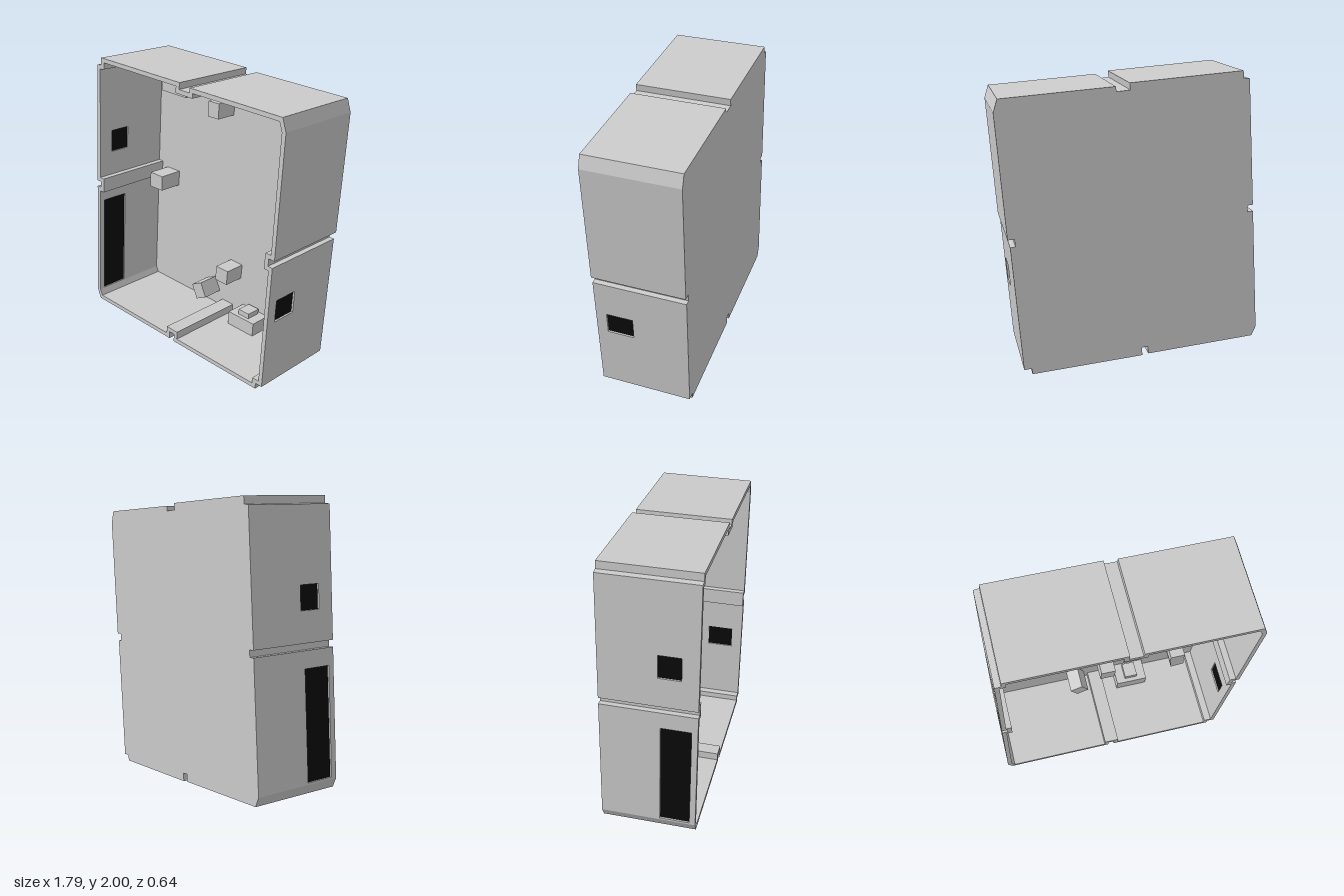
import * as THREE from 'three';

const T = 0.03;                       // wall thickness
const BACK = -0.32, FLOOR = -0.27, FRONT = 0.32;

// Outer outline, clockwise seen from the front, with grooves, steps and chamfers
const OUTLINE = [
  [-0.73, 2], [0.03, 1.945], [0.025, 1.9], [0.115, 1.892], [0.12, 1.925], [0.865, 1.873],
  [0.892, 1.787], [0.835, 0.962], [0.79, 0.966], [0.785, 0.915], [0.82, 0.911], [0.757, 0.037],
  [0.705, 0.041], [0.702, 0], [-0.065, 0.055], [-0.061, 0.112], [-0.104, 0.116], [-0.108, 0.063],
  [-0.868, 0.12], [-0.897, 0.187], [-0.838, 1.045], [-0.8, 1.042], [-0.797, 1.087], [-0.835, 1.09],
  [-0.775, 1.947], [-0.735, 1.95],
].map(([x, y]) => new THREE.Vector2(x, y));

// Walls with an opening: outline edge, y range, z range
const OPENINGS = [
  { name: 'rightUpper', edge: 6, y: [1.59, 1.778], z: [-0.285, 0.21] },
  { name: 'rightLower', edge: 10, y: [0.5, 0.655], z: [0.06, 0.245] },
  { name: 'leftLower', edge: 19, y: [0.2, 0.93], z: [0.08, 0.28] },
  { name: 'leftUpper', edge: 23, y: [1.295, 1.455], z: [0.06, 0.21] },
];

// Loose blocks on the floor: x, y, width, height, turn, z of front, z of back
const BLOCKS = [
  [-0.65, 1.925, 0.085, 0.075, 0, -0.11],
  [-0.46, 1.8, 0.24, 0.17, -0.075, -0.11],
  [-0.08, 1.667, 0.097, 0.11, -0.05, -0.11],
  [-0.65, 1.02, 0.125, 0.112, -0.06, -0.09],
  [0, 0.445, 0.11, 0.11, -0.1, -0.11],
  [-0.23, 0.243, 0.1, 0.115, 0.42, -0.11],
  [0.548, 0.445, 0.11, 0.085, -0.06, -0.11],
  [0.553, 0.352, 0.103, 0.115, 0.08, -0.11],
  [0.19, 0.12, 0.235, 0.1, -0.075, -0.11],
  [0.193, 0.188, 0.095, 0.04, -0.075, -0.14, -0.25],
];

const at = (i) => OUTLINE[(i + OUTLINE.length) % OUTLINE.length];
const edgeDir = (i) => at(i + 1).clone().sub(at(i)).normalize();

// Inner outline: each corner moved inward along its mitre
const INNER = OUTLINE.map((p, i) => {
  const normals = [edgeDir(i - 1), edgeDir(i)].map((d) => new THREE.Vector2(d.y, -d.x));
  const sum = normals[0].clone().add(normals[1]);
  return p.clone().addScaledVector(sum, T / (1 + normals[0].dot(normals[1])));
});

function extrude(shape, depth) {
  return new THREE.ExtrudeGeometry(shape, { depth, bevelEnabled: false });
}

function rect(u0, u1, v0, v1) {
  return [[u0, v0], [u1, v0], [u1, v1], [u0, v1]].map(([u, v]) => new THREE.Vector2(u, v));
}

export function createModel() {
  const model = new THREE.Group();
  model.name = 'openTray';
  const grey = new THREE.MeshStandardMaterial({ color: 0xcccccc, flatShading: true });
  const black = new THREE.MeshStandardMaterial({ color: 0x0a0a0a });

  function add(name, geometry, material = grey) {
    const mesh = new THREE.Mesh(geometry, material);
    mesh.name = name;
    model.add(mesh);
    return mesh;
  }

  // Back plate
  add('floorPlate', extrude(new THREE.Shape(OUTLINE), FLOOR - BACK)).position.z = BACK;

  // Solid runs of wall between the walls with openings
  const n = OUTLINE.length;
  const runNames = ['rightGrooveWall', 'bottomWall', 'leftGrooveWall', 'topWall'];
  OPENINGS.forEach(({ edge }, k) => {
    const next = OPENINGS[(k + 1) % OPENINGS.length].edge;
    const outer = [], inner = [];
    for (let i = (edge + 1) % n; ; i = (i + 1) % n) {
      outer.push(OUTLINE[i]);
      inner.unshift(INNER[i]);
      if (i === next) break;
    }
    add(runNames[k], extrude(new THREE.Shape([...outer, ...inner]), FRONT - FLOOR)).position.z = FLOOR;
  });

  // Walls with an opening, each closed by a recessed dark pane
  for (const { name, edge, y, z } of OPENINGS) {
    const p = at(edge), d = edgeDir(edge);
    const length = at(edge + 1).distanceTo(p);
    const [u0, u1] = y.map((h) => (h - p.y) / d.y).sort((a, b) => a - b);
    const frame = new THREE.Matrix4().makeBasis(
      new THREE.Vector3(d.x, d.y, 0), new THREE.Vector3(0, 0, 1), new THREE.Vector3(d.y, -d.x, 0),
    ).setPosition(p.x, p.y, 0);

    const wall = new THREE.Shape(rect(0, length, FLOOR, FRONT));
    wall.holes.push(new THREE.Path(rect(u0, u1, ...z).reverse()));
    add(name + 'Wall', extrude(wall, T).applyMatrix4(frame));

    const pane = extrude(new THREE.Shape(rect(u0, u1, ...z)), 0.008);
    add(name + 'Pane', pane.translate(0, 0, 0.013).applyMatrix4(frame), black);
  }

  // Loose blocks
  BLOCKS.forEach(([x, y, w, h, turn, front, back = FLOOR], i) => {
    const block = add('block' + (i + 1), new THREE.BoxGeometry(w, h, front - back));
    block.position.set(x, y, (front + back) / 2);
    block.rotation.z = turn;
  });

  return model;
}
